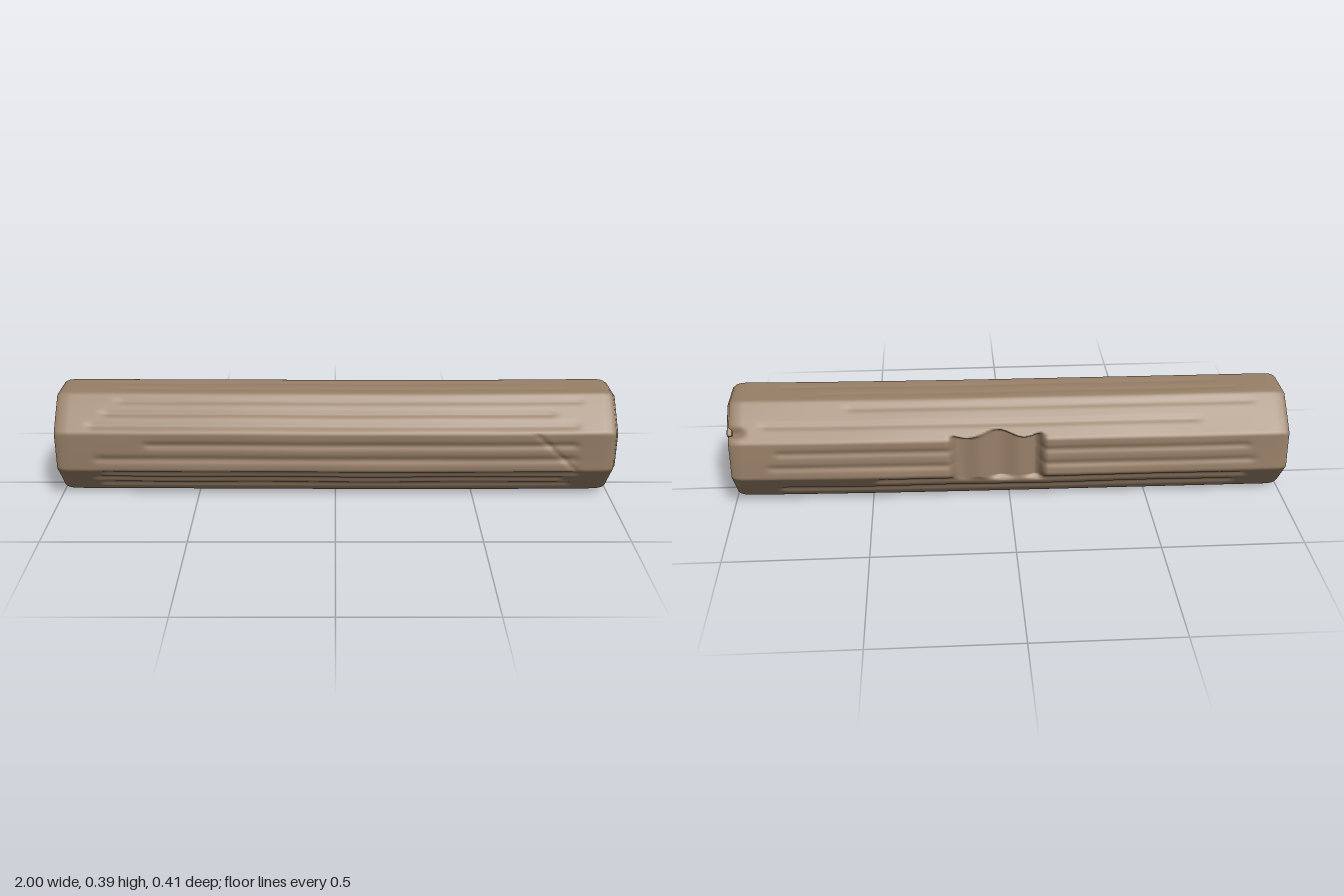
import * as THREE from 'three';
import { mergeVertices } from 'three/addons/utils/BufferGeometryUtils.js';

const CY = 0.2; // height of the beam axis
// octagonal section as [z, y - CY], running top, back, bottom, front
const OCT = [[0.08, 0.191], [-0.073, 0.191], [-0.194, 0.08], [-0.2, -0.06],
  [-0.095, -0.184], [0.065, -0.191], [0.182, -0.07], [0.19, 0.076]];
// weathered grooves: facet, place across facet, depth, x from, x to, width
const GROOVES = [
  [0, 0.3, 0.003, -0.8, 0.85, 0.07], [0, 0.7, 0.003, -0.85, 0.7, 0.07],
  [1, 0.2, 0.005, -0.9, 0.6, 0.04], [1, 0.6, 0.005, -0.7, 0.9, 0.04],
  [1, 0.72, 0.03, 0.93, 1.2, 0.07],
  [2, 0.3, 0.007, -0.88, 0.85, 0.07], [2, 0.7, 0.007, -0.9, 0.88, 0.07],
  [3, 0.25, 0.009, -0.88, 0.5, 0.08], [3, 0.65, 0.008, -0.85, 0.85, 0.08],
  [5, 0.3, 0.009, -0.88, 0.88, 0.07], [5, 0.58, 0.009, -0.9, 0.85, 0.07],
  [5, 0.85, 0.008, -0.86, 0.9, 0.07],
  [6, 0.3, 0.008, -0.88, 0.88, 0.08], [6, 0.68, 0.008, -0.7, 0.88, 0.07],
  [7, 0.2, 0.005, -0.9, 0.88, 0.07], [7, 0.5, 0.006, -0.85, 0.8, 0.05],
  [7, 0.8, 0.005, -0.8, 0.9, 0.04],
];
const PER = 24; // samples per facet
const smooth = THREE.MathUtils.smoothstep;
const band = (v, a, b, w) => smooth(v, a, a + w) * (1 - smooth(v, b - w, b));

// one closed cross-section of the beam as [z, y]
function ring(x, s) {
  const raw = [];
  OCT.forEach((a, f) => {
    const b = OCT[(f + 1) % 8];
    const dz = b[0] - a[0], dy = b[1] - a[1], len = Math.hypot(dz, dy);
    for (let k = 0; k < PER; k++) {
      const t = k / PER;
      let d = 0.0012 * Math.sin(x * 9 + f * 2) * Math.sin(t * Math.PI);
      for (const [gf, gt, depth, x0, x1, w] of GROOVES) {
        if (gf === f) d += depth * Math.exp(-(((t - gt) / w) ** 2)) * band(x, x0, x1, 0.04);
      }
      // slanting crack near the right end of the front
      if (f === 6) d += 0.005 * Math.exp(-(((x - 0.86 + 0.15 * t) / 0.01) ** 2));
      raw.push([a[0] + dz * t - (dy / len) * d, a[1] + dy * t + (dz / len) * d]);
    }
  });
  const n = raw.length;
  return raw.map((p, i) => {
    // soften the corners, then scale and bend
    const q = raw[(i + n - 1) % n], r = raw[(i + 1) % n];
    let z = (p[0] * 2 + q[0] + r[0]) / 4 * s;
    const y = (p[1] * 2 + q[1] + r[1]) / 4 * s;
    // broken-out notch in the back
    const top = 0.1 + 0.012 * Math.sin(x * 30);
    const m = band(x, -0.125, 0.225, 0.03) * band(y, -0.1, top, 0.015);
    const floor = -0.152 + 0.008 * Math.sin(x * 45) + 0.03 * smooth(x, -0.02, 0.22) * -0.6;
    z += (Math.max(z, floor) - z) * m;
    return [z + 0.011 * x, y + CY + 0.008 * Math.max(0, x) ** 2 - 0.002];
  });
}

function bodyGeometry(stations) {
  const pos = [], idx = [], n = 8 * PER;
  stations.forEach(([x, s]) => ring(x, s).forEach(([z, y]) => pos.push(x, y, z)));
  for (let j = 0; j < stations.length - 1; j++) {
    for (let i = 0; i < n; i++) {
      const a = j * n + i, b = j * n + (i + 1) % n;
      idx.push(a, a + n, b, b, a + n, b + n);
    }
  }
  const g = new THREE.BufferGeometry();
  g.setAttribute('position', new THREE.Float32BufferAttribute(pos, 3));
  g.setIndex(idx);
  const merged = mergeVertices(g);
  merged.computeVertexNormals();
  return merged;
}

// rectangle turned 45 degrees, rising toward the back, with cut corners
function slantRect(cz, cy, along, across, cut) {
  const a = along / 2, b = across / 2;
  return [[a - cut, b], [a, b - cut], [a, cut - b], [a - cut, -b],
    [cut - a, -b], [-a, cut - b], [-a, b - cut], [cut - a, b]]
    .map(([u, v]) => [cz + (v - u) * Math.SQRT1_2, cy + (u + v) * Math.SQRT1_2]);
}

// plate in the z-y plane whose outer face lies at x, growing inward by depth
function endPlate(side, x, depth, outline, hole, bevel = 0) {
  const to = ([z, y]) => new THREE.Vector2(-side * z, y);
  const shape = new THREE.Shape(outline.map(to));
  if (hole) shape.holes.push(new THREE.Path(hole.map(to)));
  const g = new THREE.ExtrudeGeometry(shape, {
    depth: depth - bevel, bevelEnabled: bevel > 0, bevelThickness: bevel,
    bevelSize: bevel, bevelOffset: -bevel, bevelSegments: 2,
  });
  g.translate(0, 0, -depth);
  g.rotateY(side * Math.PI / 2);
  g.translate(x, 0, 0);
  return g;
}

export function createModel() {
  const model = new THREE.Group();
  model.name = 'woodenBeam';
  const wood = new THREE.MeshStandardMaterial({ color: 0x988068 });
  wood.name = 'weatheredWood';
  const pale = new THREE.MeshStandardMaterial({ color: 0xe0ac70 });
  pale.name = 'paleWood';
  const add = (name, geometry, material = wood) => {
    const mesh = new THREE.Mesh(geometry, material);
    mesh.name = name;
    model.add(mesh);
  };

  // octagonal beam with rounded ends
  const L = -1, R = 0.993;
  const stations = [[L, 0.94], [L + 0.006, 0.965], [L + 0.018, 0.988]];
  for (let j = 0; j <= 160; j++) stations.push([-0.96 + 1.915 * j / 160, 1]);
  stations.push([R - 0.018, 0.988], [R - 0.006, 0.965], [R, 0.94]);
  add('beam', bodyGeometry(stations));

  // right end: slot with a pale peg inside
  const slot = slantRect(-0.018, 0.197, 0.124, 0.056, 0.014);
  add('rightEnd', endPlate(1, R, 0.04, ring(R, 0.94), slot));
  add('peg', endPlate(1, R - 0.006, 0.04, slantRect(-0.018, 0.197, 0.122, 0.054, 0.014)), pale);

  // raised half of the right end, split along a stepped crack
  const half = [[0.172, -0.062], [0.083, -0.018], [0.083, 0.005], [0.01, 0.083], [-0.004, 0.083],
    [-0.068, 0.022], [-0.15, 0.098], [-0.062, 0.179], [0.082, 0.179], [0.186, 0.073]]
    .map(([z, y]) => [z + 0.003, y + CY + 0.004]);
  add('raisedHalf', endPlate(1, 1, 0.014, half, null, 0.005));

  // left end: empty square socket
  const socket = slantRect(-0.012, 0.2, 0.11, 0.09, 0.008);
  add('leftEnd', endPlate(-1, L, 0.06, ring(L, 0.94), socket));
  add('socketFloor', endPlate(-1, L + 0.055, 0.01, slantRect(-0.012, 0.2, 0.12, 0.1, 0.008)));
  return model;
}
